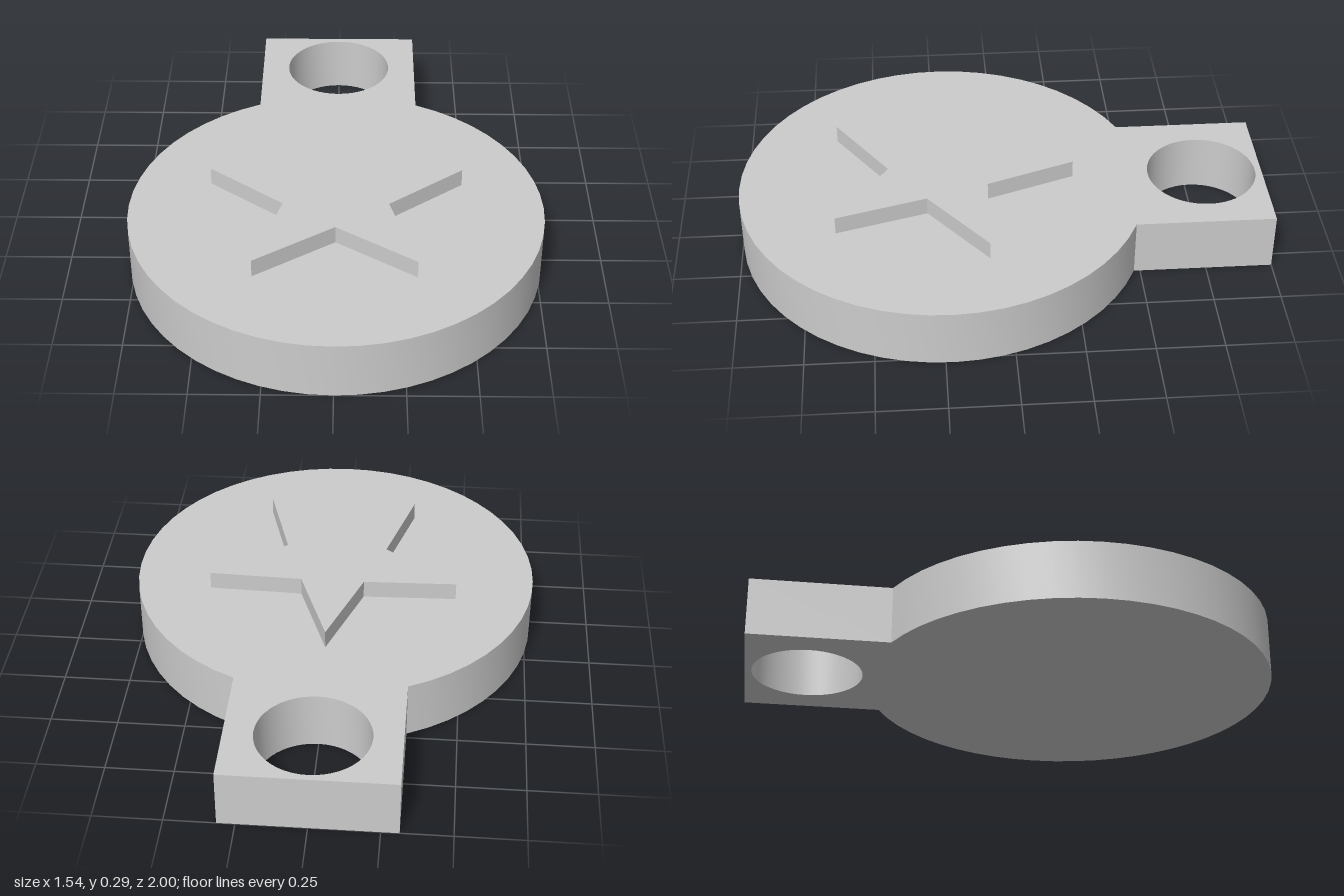
import * as THREE from 'three';
import { toCreasedNormals } from 'three/addons/utils/BufferGeometryUtils.js';

const BASE_HEIGHT = 0.221;
const STAR_HEIGHT = 0.069;
const DISC_RADIUS = 0.772;
const CENTRE_Z = 0.228;
const TAB_HALF_WIDTH = 0.315;

// Extrude a plan outline (shape y = -z) upwards, keeping curved walls smooth
function slab(shape, height) {
  const geometry = new THREE.ExtrudeGeometry(shape, {
    depth: height, bevelEnabled: false, curveSegments: 24,
  });
  geometry.rotateX(-Math.PI / 2);
  return toCreasedNormals(geometry, Math.PI / 6);
}

// Disc outline merged with the square hanging tab (counter-clockwise),
// pierced by a round hole (clockwise)
function baseShape() {
  const start = Math.acos(TAB_HALF_WIDTH / DISC_RADIUS);
  const shape = new THREE.Shape();
  shape.moveTo(TAB_HALF_WIDTH, 1);
  shape.lineTo(-TAB_HALF_WIDTH, 1);
  shape.absarc(0, -CENTRE_Z, DISC_RADIUS, Math.PI - start, start, false);
  shape.closePath();
  const hole = new THREE.Path();
  hole.absarc(0, 0.768, 0.208, 0, Math.PI * 2, true);
  shape.holes.push(hole);
  return shape;
}

// Five-pointed star with one point towards the tab
function starShape(outer, inner) {
  const points = [];
  for (let i = 0; i < 10; i++) {
    const angle = Math.PI / 2 + (i * Math.PI) / 5;
    const r = i % 2 ? inner : outer;
    points.push(new THREE.Vector2(r * Math.cos(angle), r * Math.sin(angle) - CENTRE_Z));
  }
  return new THREE.Shape(points);
}

export function createModel() {
  const grey = new THREE.MeshStandardMaterial({ color: 0xcccccc });
  grey.name = 'plain grey';

  const base = new THREE.Mesh(slab(baseShape(), BASE_HEIGHT), grey);
  base.name = 'discWithTab';

  const star = new THREE.Mesh(slab(starShape(0.498, 0.205), STAR_HEIGHT), grey);
  star.name = 'raisedStar';
  star.position.y = BASE_HEIGHT;

  const model = new THREE.Group();
  model.name = 'starTag';
  model.add(base, star);
  return model;
}
